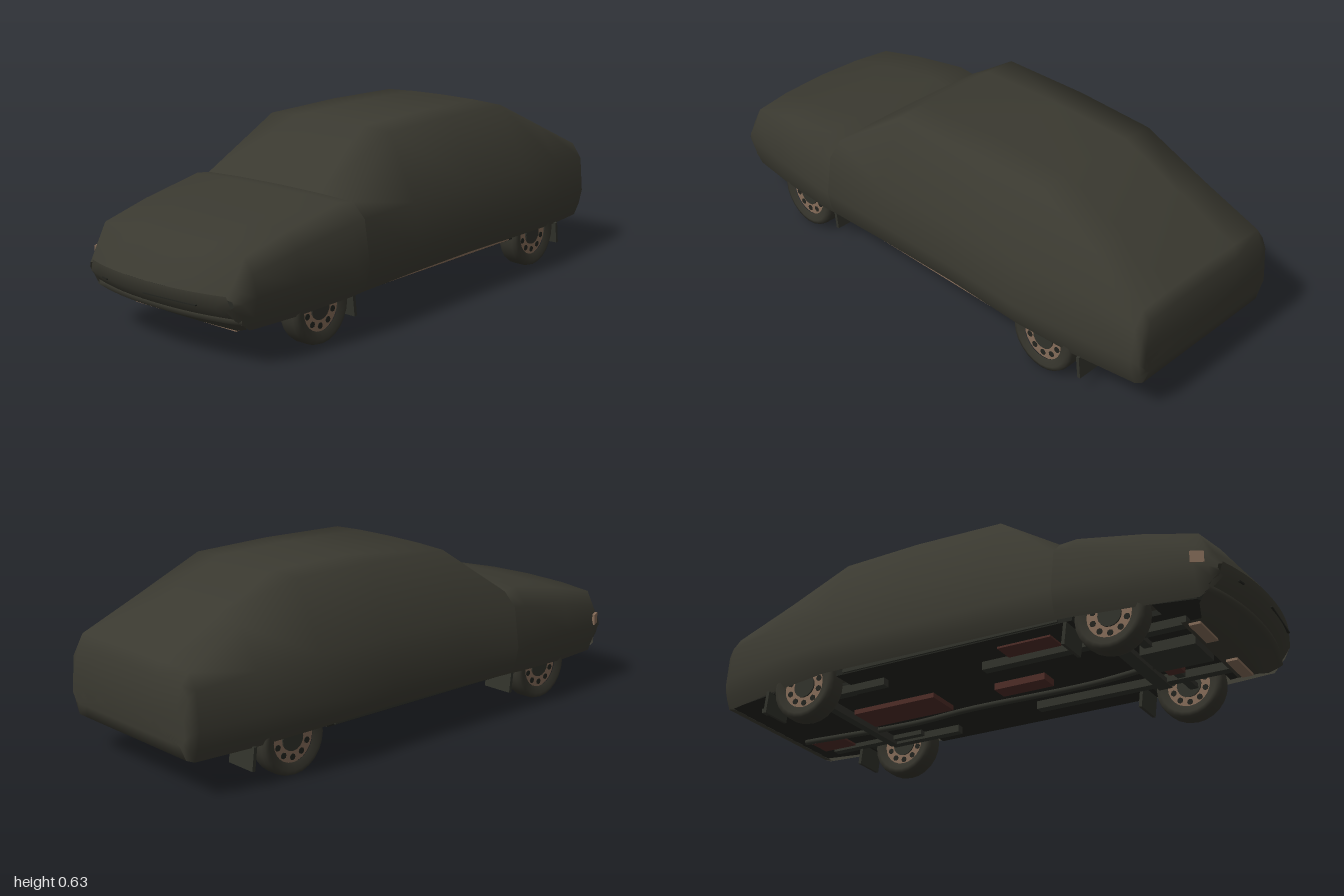
import * as THREE from 'three';

const mat = (name, color, side = THREE.FrontSide) => {
  const m = new THREE.MeshStandardMaterial({ color, side });
  m.name = name;
  return m;
};

// Smooth surface through rows of [x, y, z] points
function loft(rows) {
  const n = rows[0].length, idx = [];
  for (let i = 0; i < rows.length - 1; i++)
    for (let j = 0; j < n - 1; j++) {
      const a = i * n + j, c = a + n;
      idx.push(a, c, a + 1, a + 1, c, c + 1);
    }
  const g = new THREE.BufferGeometry();
  g.setAttribute('position', new THREE.Float32BufferAttribute(rows.flat(2), 3));
  g.setIndex(idx);
  g.computeVertexNormals();
  return g;
}

const sweepBack = (x, amount) => amount * Math.pow(Math.abs(x) / 0.35, 2.2);

export function createModel() {
  const car = new THREE.Group();
  car.name = 'coveredCar';
  const cloth = mat('oliveCloth', 0x3a3930, THREE.DoubleSide);
  const rubber = mat('tyreRubber', 0x35342c);
  const black = mat('underbodyBlack', 0x23241f);
  const metal = mat('darkMetal', 0x31322b);
  const tan = mat('dustyTan', 0x846b58);
  const red = mat('rustRed', 0x4e2c27);

  const add = (name, geo, material, x = 0, y = 0, z = 0, parent = car) => {
    const m = new THREE.Mesh(geo, material);
    m.name = name;
    m.position.set(x, y, z);
    parent.add(m);
    return m;
  };
  const box = (name, material, w, h, d, x, y, z) =>
    add(name, new THREE.BoxGeometry(w, h, d), material, x, y, z);

  // Cloth cover, lofted nose to tail; the doubled section keeps the windscreen base sharp.
  // z, sweep of the corners, bottom y, widest half/y, belt half/y, top half/y
  const sections = [
    [1.0, 0.06, 0.195, 0.335, 0.21, 0.33, 0.225, 0.31, 0.24],
    [0.97, 0.05, 0.16, 0.35, 0.215, 0.34, 0.25, 0.32, 0.285],
    [0.91, 0.03, 0.122, 0.367, 0.23, 0.352, 0.3, 0.322, 0.36],
    [0.7, 0, 0.125, 0.39, 0.24, 0.37, 0.34, 0.328, 0.405],
    [0.46, 0, 0.135, 0.408, 0.24, 0.385, 0.38, 0.33, 0.45],
    [0.4, 0, 0.138, 0.407, 0.24, 0.385, 0.385, 0.335, 0.442],
    [0.4, 0, 0.138, 0.407, 0.24, 0.385, 0.385, 0.335, 0.442],
    [0.14, 0, 0.142, 0.402, 0.24, 0.382, 0.39, 0.275, 0.624],
    [-0.2, 0, 0.145, 0.4, 0.24, 0.382, 0.39, 0.275, 0.631],
    [-0.51, 0, 0.145, 0.408, 0.24, 0.382, 0.39, 0.265, 0.627],
    [-0.75, 0, 0.132, 0.382, 0.24, 0.362, 0.38, 0.275, 0.517],
    [-0.965, 0, 0.122, 0.342, 0.23, 0.332, 0.355, 0.295, 0.415],
    [-0.988, 0, 0.13, 0.33, 0.22, 0.32, 0.33, 0.285, 0.375],
    [-1.0, 0, 0.175, 0.315, 0.205, 0.31, 0.26, 0.275, 0.3],
  ];
  const rings = sections.map(([z, sweep, yb, w, yw, wb, ybelt, wt, yt]) => {
    const half = [
      [w - 0.03, yb], [w - 0.012, yb + (yw - yb) * 0.4], [w, yw], [wb, ybelt],
      [wt, yt - 0.008], [wt * 0.55, yt - 0.002],
    ];
    return [...half, [0, yt], ...half.map(([x, y]) => [-x, y]).reverse()]
      .map(([x, y]) => [x, y, z - sweepBack(x, sweep)]);
  });
  rings.push(rings[0].map(() => [0, 0.24, -1])); // closes the tail
  add('carCover', loft(rings), cloth);

  // Lower nose and tail panels, rows of [y, z, half width, sweep]
  const skirt = (name, dir, rows) => add(name, loft(rows.map(([y, z, w, sweep]) =>
    Array.from({ length: 13 }, (_, j) => {
      const x = dir * w * (j / 6 - 1);
      return [x, y, z - sweepBack(x, sweep)];
    }))), cloth);
  skirt('nosePanel', 1, [
    [0.24, 1.0, 0.31, 0.06], [0.2, 1.0, 0.325, 0.06], [0.16, 0.962, 0.335, 0.055],
  ]);
  skirt('bumperLip', 1, [
    [0.16, 0.962, 0.335, 0.055], [0.145, 0.965, 0.335, 0.055], [0.138, 0.945, 0.335, 0.05],
  ]);
  skirt('noseUnderside', 1, [
    [0.138, 0.945, 0.335, 0.05], [0.115, 0.9, 0.31, 0.04], [0.093, 0.86, 0.25, 0.02],
    [0.093, 0.78, 0.25, 0],
  ]);
  skirt('tailPanel', -1, [
    [0.24, -1.0, 0.31, 0], [0.175, -1.0, 0.285, 0], [0.13, -0.988, 0.3, 0], [0.122, -0.955, 0.31, 0],
  ]);

  // Floor with notches for the wheels
  const outline = [
    [0.26, 0.89], [0.31, 0.86], [0.34, 0.72], [0.26, 0.72], [0.26, 0.45], [0.36, 0.45],
    [0.36, -0.47], [0.26, -0.47], [0.26, -0.75], [0.34, -0.75], [0.3, -0.97],
  ];
  const floor = new THREE.Shape([...outline, ...outline.map(([x, z]) => [-x, z]).reverse()]
    .map(([x, z]) => new THREE.Vector2(x, z)));
  const floorGeo = new THREE.ExtrudeGeometry(floor, { depth: 0.02, bevelEnabled: false });
  add('floorPan', floorGeo.rotateX(Math.PI / 2), black, 0, 0.152, 0);

  // Wheels: tyre, rim with dark slots, hub
  const tyreGeo = new THREE.LatheGeometry([
    [0.08, -0.03], [0.105, -0.04], [0.12, -0.036], [0.125, -0.022],
    [0.125, 0.022], [0.12, 0.036], [0.105, 0.04], [0.08, 0.03],
  ].map(p => new THREE.Vector2(...p)), 24);
  const rimGeo = new THREE.CylinderGeometry(0.083, 0.083, 0.05, 24);
  const hubGeo = new THREE.CylinderGeometry(0.042, 0.046, 0.06, 16);
  const slotGeo = new THREE.CylinderGeometry(0.011, 0.011, 0.054, 8);
  for (const [end, z] of [['front', 0.58], ['rear', -0.61]])
    for (const side of [1, -1]) {
      const wheel = new THREE.Group();
      wheel.name = end + (side > 0 ? 'LeftWheel' : 'RightWheel');
      wheel.position.set(side * 0.326, 0.126, z);
      wheel.rotation.z = -side * Math.PI / 2;
      car.add(wheel);
      add('tyre', tyreGeo, rubber, 0, 0, 0, wheel);
      add('rim', rimGeo, tan, 0, 0, 0, wheel);
      add('hub', hubGeo, metal, 0, 0, 0, wheel);
      for (let k = 0; k < 10; k++) {
        const a = k * Math.PI / 5;
        add('rimSlot', slotGeo, black, 0.063 * Math.cos(a), 0, 0.063 * Math.sin(a), wheel);
      }
      // mud flap behind each wheel
      const flap = box('mudFlap', metal, 0.12, 0.08, 0.012, side * 0.3, 0.096, z - 0.16);
      flap.rotation.x = 0.12;
    }

  // Sills and floor stiffeners
  box('leftSill', tan, 0.024, 0.02, 0.84, 0.355, 0.146, -0.02);
  box('rightSill', metal, 0.024, 0.02, 0.84, -0.355, 0.146, -0.02);
  for (const side of [1, -1]) {
    box('chassisRail', metal, 0.035, 0.03, 0.75, side * 0.2, 0.117, 0.41);
    box('rearRail', metal, 0.03, 0.02, 0.4, side * 0.23, 0.125, -0.68);
    box('frontSuspensionArm', metal, 0.2, 0.018, 0.03, side * 0.2, 0.115, 0.6);
    box('trailingArm', metal, 0.03, 0.03, 0.3, side * 0.255, 0.12, -0.48);
    box('undertrayStrip', tan, 0.15, 0.009, 0.04, side * 0.16, 0.088, 0.82);
  }
  box('redTunnelPanel', red, 0.07, 0.03, 0.2, 0, 0.122, 0.08);
  box('redRearFloor', red, 0.14, 0.02, 0.34, 0, 0.124, -0.42);
  box('redFootwell', red, 0.1, 0.01, 0.2, -0.25, 0.13, 0.24);
  box('redTailPanel', red, 0.09, 0.012, 0.14, 0.17, 0.13, -0.85);
  box('redEnginePart', red, 0.05, 0.02, 0.06, 0.12, 0.115, 0.6);
  box('rearBracket', tan, 0.04, 0.015, 0.03, -0.15, 0.125, -0.7);
  box('rearCrossMember', metal, 0.5, 0.03, 0.03, 0, 0.118, -0.62);
  box('frontCrossMember', metal, 0.46, 0.02, 0.05, 0, 0.107, 0.52);
  box('engineSump', metal, 0.16, 0.045, 0.2, 0, 0.117, 0.66);
  const exhaust = new THREE.CatmullRomCurve3([
    [0.06, 0.115, 0.58], [0.1, 0.115, 0.3], [0.1, 0.118, -0.2], [0.12, 0.118, -0.45], [0.1, 0.125, -0.93],
  ].map(p => new THREE.Vector3(...p)));
  add('exhaustPipe', new THREE.TubeGeometry(exhaust, 24, 0.011, 8), metal);

  // Front details: slots in the nose and a bare patch at the corner
  box('noseSlot', black, 0.22, 0.004, 0.008, 0.1, 0.2, 0.993).rotation.y = 0.08;
  box('noseSlotSmall', black, 0.03, 0.005, 0.008, -0.22, 0.2, 0.978).rotation.y = -0.2;
  box('barePatch', tan, 0.009, 0.04, 0.045, -0.359, 0.25, 0.888).rotation.y = 0.45;
  return car;
}
